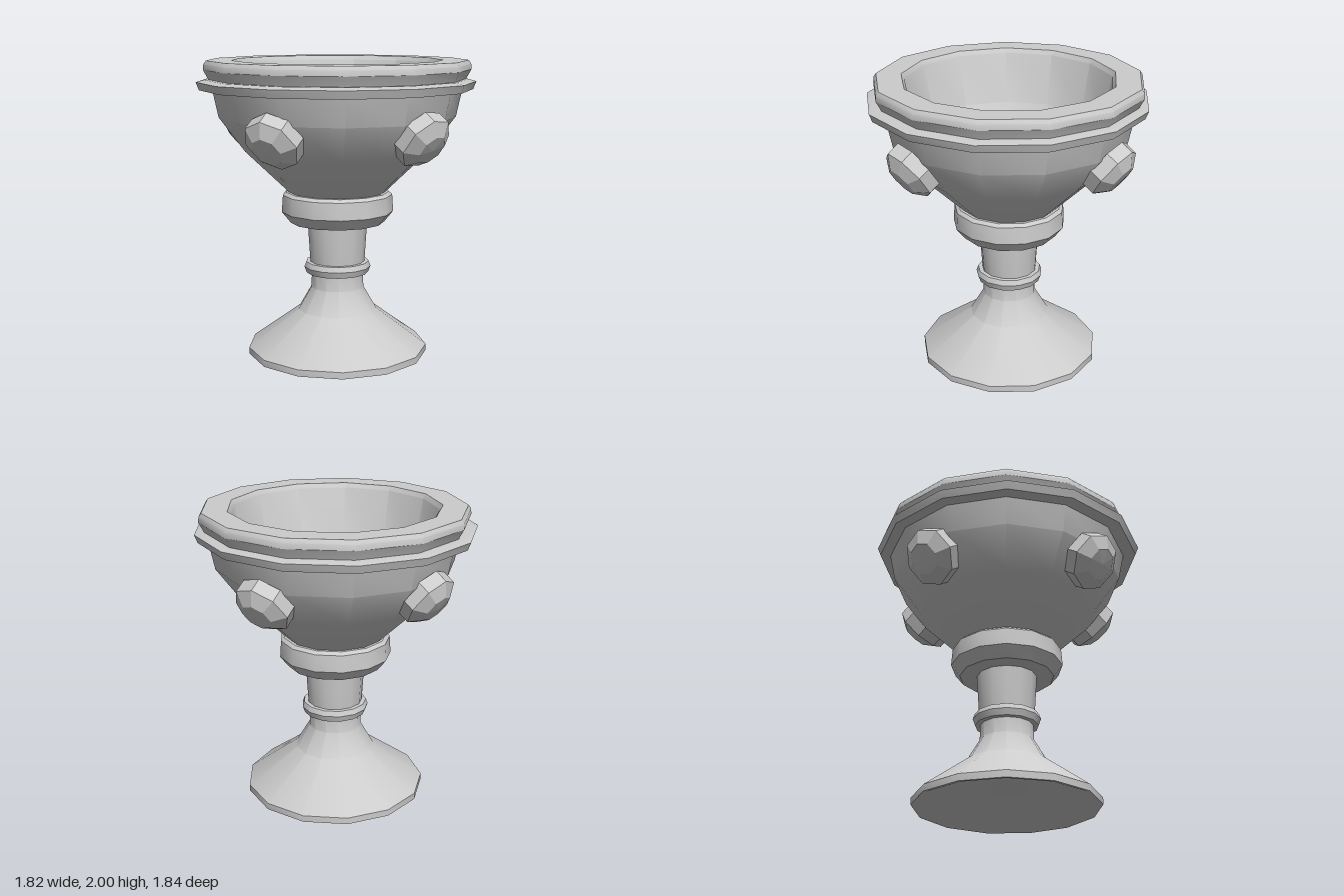
import * as THREE from 'three';
import { toCreasedNormals } from 'three/addons/utils/BufferGeometryUtils.js';

const SIDES = 13;
const grey = new THREE.MeshStandardMaterial({ color: 0xcccccc });
const facetGrey = new THREE.MeshStandardMaterial({ color: 0xcccccc, flatShading: true });

// Turned part: profile of [radius, height], with one corner of the polygon on +x
function turned(name, profile) {
  const points = profile.map(([r, y]) => new THREE.Vector2(r, y));
  const lathe = new THREE.LatheGeometry(points, SIDES, Math.PI / 2);
  const mesh = new THREE.Mesh(toCreasedNormals(lathe, 0.53), grey);
  mesh.name = name;
  return mesh;
}

// Faceted octagonal stud whose axis points out of the bowl and slightly down
function stud(x, z) {
  const profile = [[0, -0.05], [0.19, -0.05], [0.19, 0.04], [0.105, 0.1], [0, 0.108]];
  const geometry = new THREE.LatheGeometry(profile.map(([r, y]) => new THREE.Vector2(r, y)), 8, 0.15);
  const mesh = new THREE.Mesh(geometry, facetGrey);
  mesh.name = 'stud';
  mesh.position.set(x, 1.53, z);
  const flat = Math.hypot(x, z);
  const normal = new THREE.Vector3((0.82 * x) / flat, -0.57, (0.82 * z) / flat).normalize();
  mesh.quaternion.setFromUnitVectors(new THREE.Vector3(0, 1, 0), normal);
  return mesh;
}

export function createModel() {
  const goblet = new THREE.Group();
  goblet.name = 'goblet';

  // Flared foot with a hollow underside
  goblet.add(turned('foot', [
    [0, 0.13], [0.23, 0.13], [0.595, 0], [0.615, 0], [0.615, 0.045],
    [0.27, 0.3], [0.18, 0.455], [0.177, 0.57],
  ]));

  // Stem and its small ring
  goblet.add(turned('stem', [[0.178, 0.55], [0.187, 0.64], [0.205, 0.93]]));
  goblet.add(turned('stemRing', [
    [0.17, 0.557], [0.212, 0.557], [0.228, 0.6], [0.215, 0.635], [0.17, 0.635],
  ]));

  // Collar under the bowl
  goblet.add(turned('collar', [
    [0.15, 0.91], [0.32, 0.91], [0.38, 0.985], [0.372, 1.1], [0.35, 1.12], [0.2, 1.12],
  ]));

  // Bowl: outer wall, rolled lip, then down the inside to the floor
  goblet.add(turned('bowl', [
    [0.3, 1.1], [0.33, 1.12], [0.62, 1.4], [0.79, 1.63], [0.83, 1.82],
    [0.85, 1.875], [0.885, 1.94], [0.882, 1.975], [0.865, 2], [0.7, 2],
    [0.68, 1.97], [0.62, 1.63], [0.38, 1.28], [0.15, 1.21], [0, 1.21],
  ]));

  // Band below the lip
  const band = turned('band', [
    [0.8, 1.81], [0.905, 1.81], [0.925, 1.862], [0.87, 1.877], [0.8, 1.877],
  ]);
  band.position.x = -0.012;
  goblet.add(band);

  // Four studs around the bowl
  const studs = new THREE.Group();
  studs.name = 'studs';
  for (const [x, z] of [[-0.09, 0.74], [0.73, -0.17], [-0.1, -0.73], [-0.74, 0.09]]) {
    studs.add(stud(x, z));
  }
  goblet.add(studs);

  return goblet;
}
